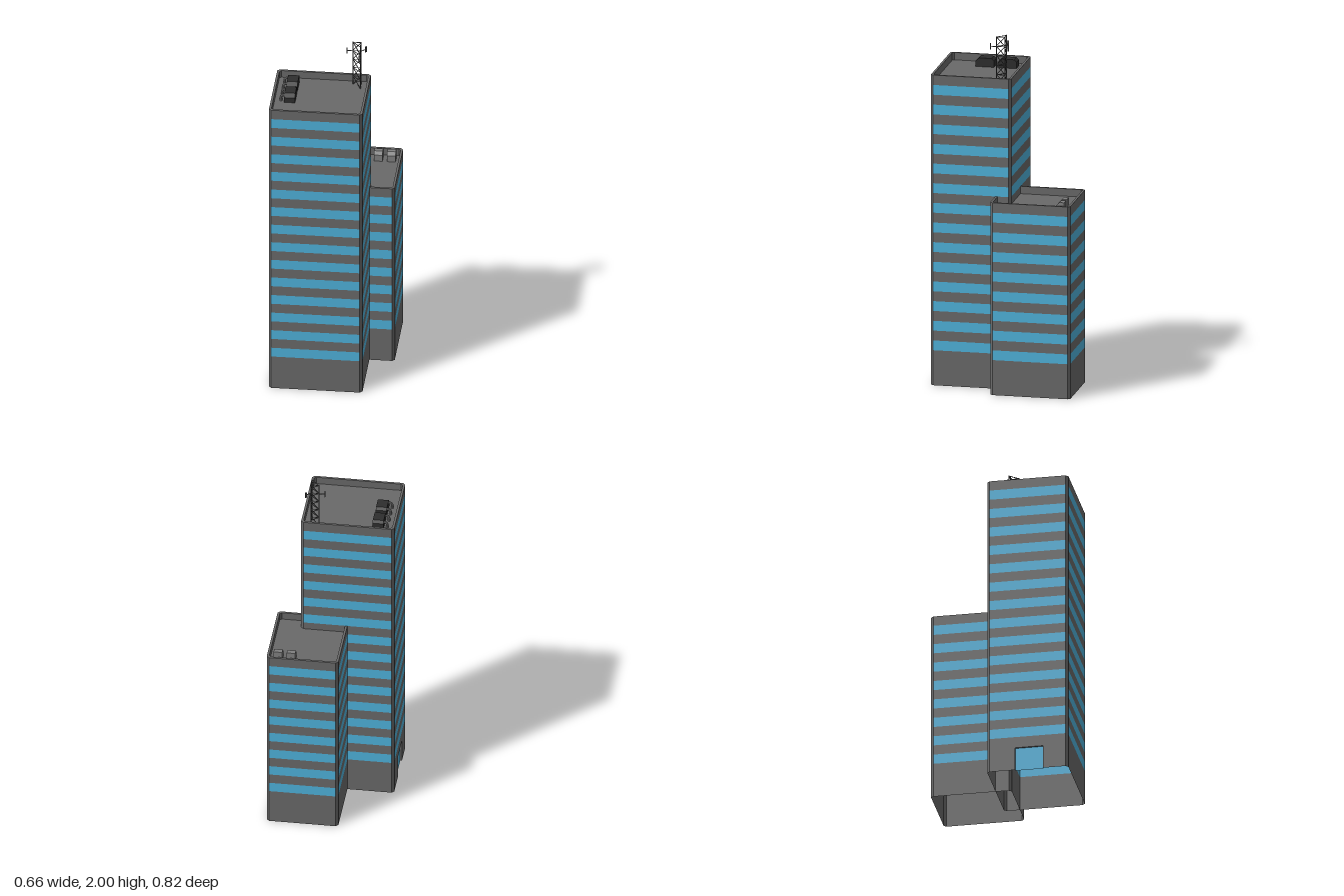
import * as THREE from 'three';
import { mergeGeometries } from 'three/addons/utils/BufferGeometryUtils.js';

const mat = (color) => new THREE.MeshStandardMaterial({ color, side: THREE.DoubleSide, flatShading: true });
const wallMat = mat(0x6a6a6a), glassMat = mat(0x4fb3dc), darkMat = mat(0x2e2e2e);
const ventMat = mat(0x808080), steelMat = mat(0x555555);

const BASE = 0.2, FLOOR = 0.1123, GLASS = 0.056;

function mesh(name, geometry, material) {
  const m = new THREE.Mesh(geometry, material);
  m.name = name;
  return m;
}

function quadGeometry(quads) {
  const pos = [];
  for (const [a, b, c, d] of quads) pos.push(...a, ...b, ...c, ...a, ...c, ...d);
  const g = new THREE.BufferGeometry();
  g.setAttribute('position', new THREE.Float32BufferAttribute(pos, 3));
  g.computeVertexNormals();
  return g;
}

// Rectangle with chamfered corners at height y; even sides are the long ones
function ring({ x0, x1, z0, z1 }, inset, y) {
  const c = 0.014 - inset * 0.3;
  const a = x0 + inset, b = x1 - inset, e = z0 + inset, f = z1 - inset;
  return [[a + c, y, f], [b - c, y, f], [b, y, f - c], [b, y, e + c],
    [b - c, y, e], [a + c, y, e], [a, y, e + c], [a, y, f - c]];
}

// Tower open at the bottom: banded walls, parapet and sunken roof
function tower(name, rect, floors, door) {
  const group = new THREE.Group();
  group.name = name;
  const walls = [], glass = [];
  const bridge = (lo, hi, flat, skip = -1) => {
    for (let i = 0; i < 8; i++) {
      const j = (i + 1) % 8;
      if (i !== skip) (i % 2 ? walls : flat).push([lo[i], lo[j], hi[j], hi[i]]);
    }
  };
  const top = BASE + floors * FLOOR;
  bridge(ring(rect, 0, 0), ring(rect, 0, BASE), walls, door ? 6 : -1);
  for (let i = 0; i < floors; i++) {
    const y = BASE + i * FLOOR;
    bridge(ring(rect, 0, y), ring(rect, 0, y + GLASS), glass);
    bridge(ring(rect, 0, y + GLASS), ring(rect, 0, y + FLOOR), walls);
  }
  const rim = ring(rect, 0.013, top), roof = ring(rect, 0.013, top - 0.042);
  bridge(ring(rect, 0, top), rim, walls);
  bridge(rim, roof, walls);
  const mid = [(rect.x0 + rect.x1) / 2, top - 0.042, (rect.z0 + rect.z1) / 2];
  for (let i = 0; i < 8; i += 2) walls.push([mid, roof[i], roof[i + 1], roof[(i + 2) % 8]]);

  // Recessed doorway in the -x wall
  if (door) {
    const { a, b, h, depth } = door, x = rect.x0, xi = x + depth;
    const panel = (y0, y1, s, t) => [[x, y0, s], [x, y0, t], [x, y1, t], [x, y1, s]];
    walls.push(panel(0, BASE, rect.z0 + 0.014, a), panel(0, BASE, b, rect.z1 - 0.014), panel(h, BASE, a, b));
    walls.push([[x, 0, a], [x, h, a], [xi, h, a], [xi, 0, a]]);
    walls.push([[x, 0, b], [xi, 0, b], [xi, h, b], [x, h, b]]);
    walls.push([[x, h, a], [x, h, b], [xi, h, b], [xi, h, a]]);
    group.add(mesh('door', quadGeometry([[[xi, 0, a], [xi, 0, b], [xi, h, b], [xi, h, a]]]), glassMat));
  }
  group.add(mesh(name + 'Walls', quadGeometry(walls), wallMat));
  group.add(mesh(name + 'Windows', quadGeometry(glass), glassMat));
  return group;
}

// Solid with a [z, y] profile, extruded from x0 to x1
function prism(profile, x0, x1) {
  const shape = new THREE.Shape(profile.map(([z, y]) => new THREE.Vector2(-z, y)));
  const g = new THREE.ExtrudeGeometry(shape, { depth: x1 - x0, bevelEnabled: false });
  return g.rotateY(Math.PI / 2).translate(x0, 0, 0);
}

// Thin round bar between two points
function bar(a, b, r = 0.0022) {
  const p = new THREE.Vector3(...a), q = new THREE.Vector3(...b);
  const d = q.clone().sub(p);
  const g = new THREE.CylinderGeometry(r, r, d.length(), 6);
  g.applyQuaternion(new THREE.Quaternion().setFromUnitVectors(new THREE.Vector3(0, 1, 0), d.normalize()));
  return g.translate(...p.add(q).multiplyScalar(0.5).toArray());
}

// Cooling unit with two bent pipes running down to the roof
function coolingUnit(z0, y) {
  const group = new THREE.Group();
  group.name = 'coolingUnit';
  const z1 = z0 + 0.106, h = y + 0.05;
  group.add(mesh('coolingBody', prism([[z0, y], [z1, y], [z1, y + 0.03], [z1 - 0.02, h], [z0 + 0.014, h], [z0, y + 0.036]], -0.263, -0.202), darkMat));
  for (const z of [z0 + 0.021, z0 + 0.085]) {
    const path = new THREE.CatmullRomCurve3([[-0.255, 0.034], [-0.272, 0.034], [-0.281, 0.026], [-0.282, 0]]
      .map(([x, dy]) => new THREE.Vector3(x, y + dy, z)));
    group.add(mesh('coolingPipe', new THREE.TubeGeometry(path, 10, 0.0075, 8), ventMat));
  }
  return group;
}

// Triangular lattice mast with three antenna arms
function mast(y0, y1) {
  const feet = [[0.095, 0], [0.14, 0], [0.14, 0.047]];
  const tips = [[0.062, 0], [0.164, -0.024], [0.14, 0.081]];
  const parts = [], bays = 5, step = (y1 - y0) / bays, armY = 1.942;
  feet.forEach(([x, z], i) => {
    const [u, w] = feet[(i + 1) % 3];
    parts.push(bar([x, y0, z], [x, y1, z], 0.003));
    for (let k = 0; k < bays; k++) {
      const y = y0 + k * step;
      parts.push(bar([x, y + step - 0.003, z], [u, y + step - 0.003, w]));
      parts.push(bar([x, y, z], [u, y + step - 0.003, w]));
    }
    const [tx, tz] = tips[i];
    parts.push(bar([x, armY, z], [tx, armY, tz], 0.0025));
    const plate = new THREE.BoxGeometry(i === 2 ? 0.011 : 0.005, 0.034, i === 0 ? 0.011 : 0.005);
    if (i === 1) plate.scale(2.2, 1, 1).rotateY(Math.PI / 4);
    parts.push(plate.translate(tx, armY, tz));
  });
  return mesh('antennaMast', mergeGeometries(parts), steelMat);
}

export function createModel() {
  const model = new THREE.Group();
  model.name = 'officeTowers';

  model.add(tower('tallTower', { x0: -0.33, x1: 0.19, z0: -0.045, z1: 0.41 }, 14,
    { a: 0.112, b: 0.27, h: 0.135, depth: 0.01 }));
  model.add(tower('shortTower', { x0: -0.07, x1: 0.33, z0: -0.41, z1: 0.043 }, 8));

  const tallRoof = BASE + 14 * FLOOR - 0.042, shortRoof = BASE + 8 * FLOOR - 0.042;
  for (const z of [0.01, 0.137]) model.add(coolingUnit(z, tallRoof));

  // Sloped vents on the short tower
  const y = shortRoof, h = y + 0.056;
  for (const x of [0.175, 0.248]) {
    model.add(mesh('roofVent', prism([[-0.37, y], [-0.325, y], [-0.325, y + 0.038], [-0.342, h], [-0.37, h]], x, x + 0.048), ventMat));
  }

  model.add(mast(tallRoof, 2));
  return model;
}
